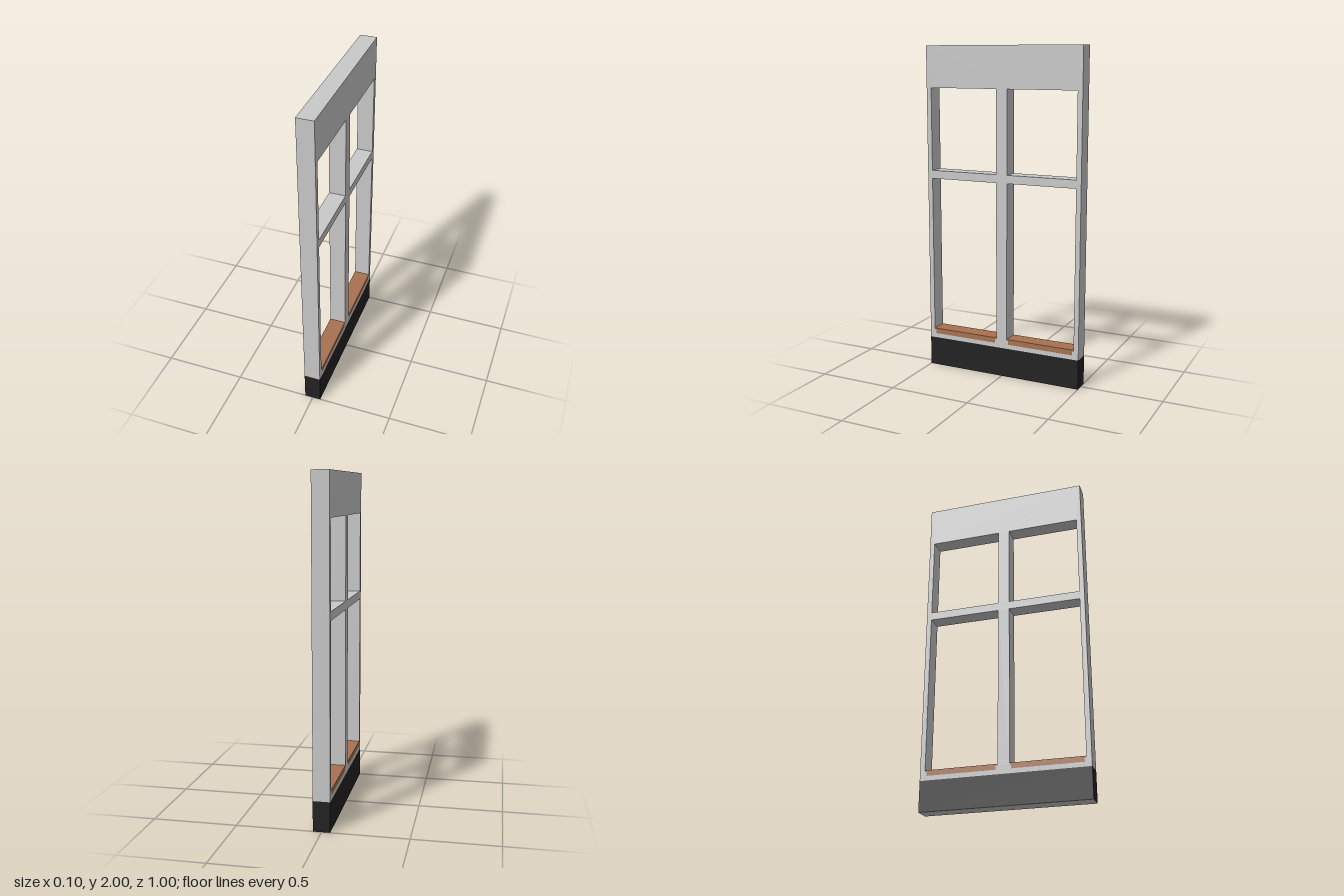
import * as THREE from 'three';

const DEPTH = 0.1;
const BASE_TOP = 0.18;
const IN = 0.035, OUT = 0.47; // inner and outer jamb of each opening
const SILL_TOP = 0.24;

const material = (name, color) => {
  const m = new THREE.MeshStandardMaterial({ color });
  m.name = name;
  return m;
};

const path = (Type, points) => new Type(points.map(([z, y]) => new THREE.Vector2(z, y)));

// Extrudes an outline drawn in (z, y) through the thickness of the wall
function slab(shape) {
  const g = new THREE.ExtrudeGeometry(shape, { depth: DEPTH, bevelEnabled: false });
  g.translate(0, 0, -DEPTH / 2);
  g.rotateY(-Math.PI / 2);
  return g;
}

export function createModel() {
  const group = new THREE.Group();
  group.name = 'windowWall';
  const plaster = material('light grey plaster', 0xc9c9c9);
  const black = material('black plinth', 0x222222);
  const wood = material('brown sill', 0xa87250);

  const add = (name, geometry, mat) => {
    const mesh = new THREE.Mesh(geometry, mat);
    mesh.name = name;
    group.add(mesh);
    return mesh;
  };

  // Wall outline, with each lower hole reaching down around its sill
  const wall = path(THREE.Shape, [[-0.5, BASE_TOP], [0.5, BASE_TOP], [0.5, 2], [-0.5, 2]]);
  for (const s of [-1, 1]) {
    const a = s * IN, b = s * OUT, i = s * 0.01;
    const sill = [
      [a, SILL_TOP], [a, 0.23], [a + i, 0.23], [a + i, 0.207],
      [b - i, 0.207], [b - i, 0.23], [b, 0.23], [b, SILL_TOP],
    ];
    wall.holes.push(path(THREE.Path, [...sill, [b, 1.2], [a, 1.2]]));
    wall.holes.push(path(THREE.Path, [[a, 1.25], [b, 1.25], [b, 1.75], [a, 1.75]]));

    // Sill, flush with the wall on both sides
    add(s > 0 ? 'frontSill' : 'backSill', slab(path(THREE.Shape, sill)), wood);
  }
  add('windowFrame', slab(wall), plaster);

  // Plinth with black sides and a plaster underside
  const plinth = new THREE.BoxGeometry(DEPTH, BASE_TOP, 1);
  add('plinth', plinth, [black, black, plaster, plaster, black, black]).position.y = BASE_TOP / 2;

  return group;
}
